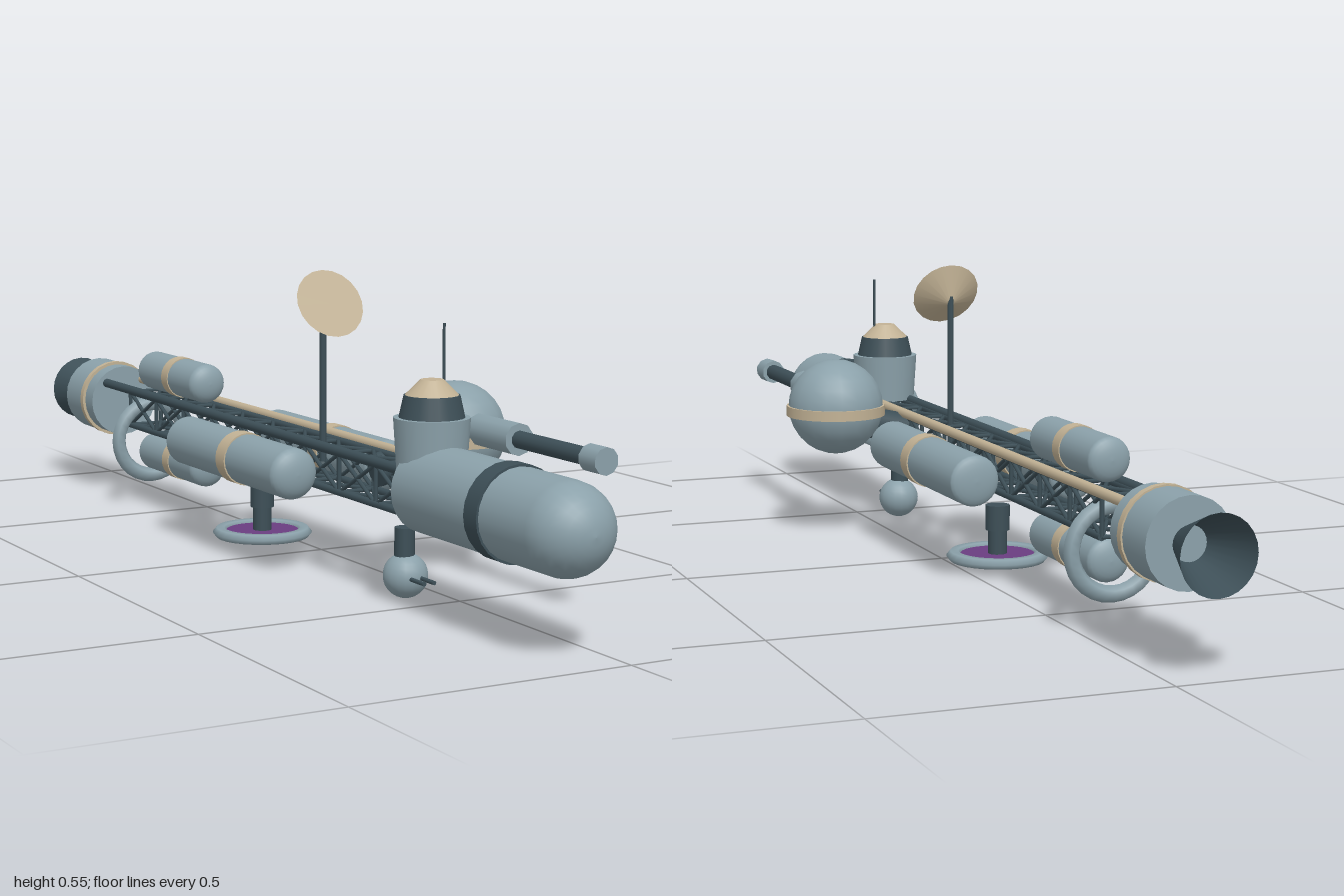
import * as THREE from 'three';

export function createModel() {
  const root = new THREE.Group();
  root.name = 'spaceStation';
  const mat = (name, color, side = THREE.FrontSide) => {
    const m = new THREE.MeshStandardMaterial({ color, side });
    m.name = name;
    return m;
  };
  const hull = mat('hullBlueGrey', 0x8ba1aa);
  const dark = mat('darkSteel', 0x3d4f57, THREE.DoubleSide);
  const tan = mat('tanTrim', 0xc2b295);
  const purple = mat('purpleGlass', 0x6a3d80);
  const CX = -0.07, AXIS = 0.205; // hull centre line
  const Y = new THREE.Vector3(0, 1, 0);

  const add = (name, geo, material, x = 0, y = 0, z = 0) => {
    const mesh = new THREE.Mesh(geo, material);
    mesh.name = name;
    mesh.position.set(x, y, z);
    root.add(mesh);
    return mesh;
  };
  // Tapered rod from a (radius ra) to b (radius rb)
  const rod = (name, a, b, ra, material, rb = ra, sides = 16, open = false) => {
    const p = new THREE.Vector3(...a), q = new THREE.Vector3(...b);
    const d = q.clone().sub(p);
    const m = add(name, new THREE.CylinderGeometry(rb, ra, d.length(), sides, 1, open), material);
    m.position.copy(p).add(q).multiplyScalar(0.5);
    m.quaternion.setFromUnitVectors(Y, d.normalize());
    return m;
  };
  const alongZ = (name, x, y, z0, z1, r, material, r1 = r, sides = 24, open = false) =>
    rod(name, [x, y, z0], [x, y, z1], r, material, r1, sides, open);
  // Tank along z with domed ends of depth c0 (rear) and c1 (front)
  const tank = (name, x, y, z0, z1, r, c0, c1) => {
    const pts = [];
    for (let i = 0; i <= 6; i++) {
      const t = (i / 6) * Math.PI / 2;
      pts.push(new THREE.Vector2(r * Math.sin(t), z0 + c0 * (1 - Math.cos(t))));
    }
    for (let i = 0; i <= 8; i++) {
      const t = (i / 8) * Math.PI / 2;
      pts.push(new THREE.Vector2(r * Math.cos(t), z1 - c1 * (1 - Math.sin(t))));
    }
    const geo = new THREE.LatheGeometry(pts, 24);
    geo.rotateX(Math.PI / 2);
    return add(name, geo, hull, x, y, 0);
  };

  // Forward hull with domed nose
  tank('forwardHull', CX, 0.21, 0.5, 1, 0.078, 0.015, 0.08);
  alongZ('hullBand', CX, 0.21, 0.75, 0.788, 0.082, dark);

  // Command tower
  const TZ = 0.518;
  rod('towerBase', [CX, 0.24, TZ], [CX, 0.332, TZ], 0.06, hull, 0.066, 20);
  rod('towerCollar', [CX, 0.33, TZ], [CX, 0.37, TZ], 0.057, dark, 0.048, 20);
  rod('towerRoof', [CX, 0.369, TZ], [CX, 0.396, TZ], 0.047, tan, 0.02, 20);
  rod('towerAntenna', [-0.047, 0.39, TZ], [-0.047, 0.49, TZ], 0.0025, dark, 0.0025, 6);

  // Lattice truss: four longerons, frames and crossed braces
  const H = 0.035, z0 = 0.52, bay = 0.13, bays = 9;
  const corners = [[-H, -H], [H, -H], [H, H], [-H, H]].map(([x, y]) => [CX + x, 0.2 + y]);
  corners.forEach(([x, y]) => alongZ('trussRail', x, y, z0, z0 - bay * bays, 0.007, dark, 0.007, 8));
  for (let i = 0; i <= bays; i++) {
    const za = z0 - i * bay, zb = za - bay;
    corners.forEach((a, k) => {
      const b = corners[(k + 1) % 4];
      rod('trussFrame', [...a, za], [...b, za], 0.004, dark, 0.004, 6);
      if (i === bays) return;
      rod('trussBrace', [...a, za], [...b, zb], 0.004, dark, 0.004, 6);
      rod('trussBrace', [...b, za], [...a, zb], 0.004, dark, 0.004, 6);
    });
  }
  // Conduits running back to the engine
  alongZ('tanConduit', -0.026, 0.243, 0.5, -0.78, 0.0095, tan, 0.0095, 10);
  alongZ('darkConduit', -0.109, 0.24, 0.5, -0.78, 0.0095, dark, 0.0095, 10);

  // Side tanks and rear tanks
  for (const s of [-1, 1]) {
    const x = CX + s * 0.097;
    tank('sideTank', x, 0.194, -0.25, 0.222, 0.047, 0.015, 0.025);
    alongZ('sideTankBand', x, 0.194, -0.015, 0.02, 0.0495, tan);
  }
  for (const y of [0.285, 0.114]) {
    tank('rearTank', CX, y, -0.615, -0.335, 0.039, 0.018, 0.022);
    alongZ('rearTankBand', CX, y, -0.483, -0.455, 0.041, tan);
  }

  // Docking ring
  add('dockingRing', new THREE.TorusGeometry(0.076, 0.015, 6, 28), hull, CX, 0.136, -0.62);

  // Engine block and open nozzle
  alongZ('engineFront', CX, AXIS - 0.005, -0.765, -0.812, 0.074, hull);
  alongZ('engineBand', CX, AXIS - 0.005, -0.803, -0.817, 0.08, tan);
  alongZ('engineRear', CX, AXIS - 0.005, -0.81, -0.9, 0.077, hull);
  alongZ('engineNozzle', CX, AXIS - 0.005, -0.89, -1, 0.026, dark, 0.067, 24, true);

  // Gun sphere on a side arm
  const GX = 0.113, GY = 0.262, GZ = 0.295;
  rod('gunArm', [-0.05, 0.205, GZ], [0.06, 0.23, GZ], 0.031, dark, 0.031, 12);
  add('gunSphere', new THREE.SphereGeometry(0.094, 18, 14), hull, GX, GY, GZ);
  rod('gunSphereBand', [GX, 0.245, GZ], [GX, 0.265, GZ], 0.098, tan, 0.098, 24);
  alongZ('gunSleeve', GX, 0.278, 0.36, 0.508, 0.029, hull, 0.029, 10);
  alongZ('gunBarrel', GX, 0.278, 0.5, 0.73, 0.016, dark, 0.016, 10);
  alongZ('gunMuzzle', GX, 0.278, 0.72, 0.767, 0.024, hull, 0.024, 10);

  // Dish aerial: shallow cone facing forward and up
  rod('dishMast', [CX, 0.2, 0.135], [CX, 0.49, 0.135], 0.0065, dark, 0.0065, 8);
  rod('dish', [CX, 0.475, 0.135], [CX, 0.495, 0.16], 0.008, tan, 0.066, 20)
    .quaternion.setFromUnitVectors(Y, new THREE.Vector3(0, 0.48, 0.877));

  // Belly turret with twin guns
  rod('turretPost', [CX, 0.07, 0.43], [CX, 0.128, 0.43], 0.018, dark, 0.018, 12);
  add('turretBall', new THREE.SphereGeometry(0.04, 18, 14), hull, CX + 0.002, 0.043, 0.43);
  for (const s of [-1, 1]) alongZ('turretGun', CX + 0.002 + s * 0.01, 0.043, 0.46, 0.51, 0.004, dark, 0.004, 8);

  // Belly sensor disc
  const DZ = -0.11;
  rod('sensorPost', [CX, 0.03, DZ], [CX, 0.1, DZ], 0.018, dark, 0.018, 12);
  rod('sensorCollar', [CX, 0.075, DZ], [CX, 0.122, DZ], 0.023, dark, 0.023, 12);
  const rim = new THREE.TorusGeometry(0.081, 0.015, 6, 28);
  rim.rotateX(Math.PI / 2);
  rim.scale(1, 0.7, 1);
  add('sensorRim', rim, hull, CX, 0.026, DZ);
  rod('sensorGlass', [CX, 0.022, DZ], [CX, 0.03, DZ], 0.075, purple, 0.075, 28);

  return root;
}
